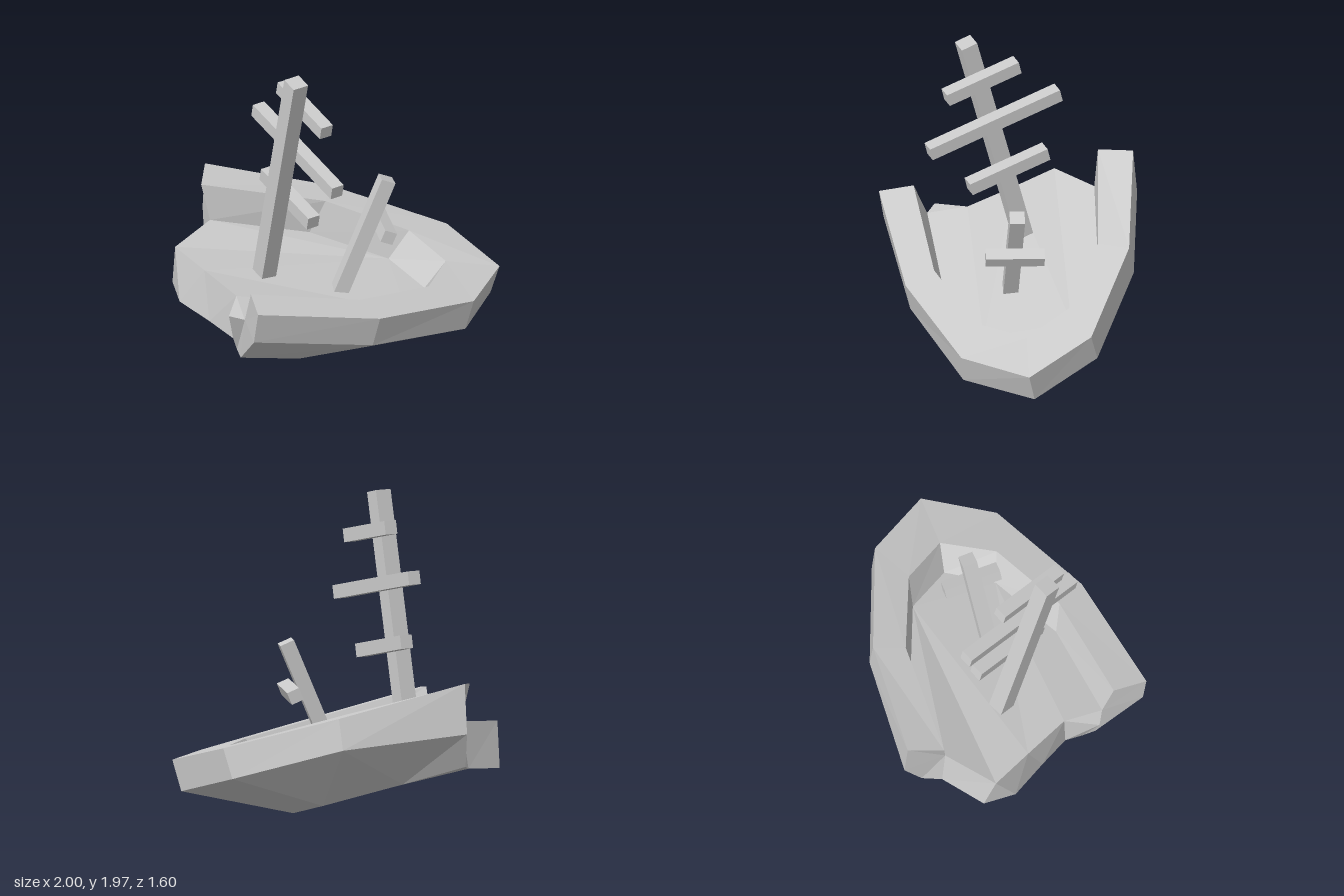
import * as THREE from 'three';

const mat = new THREE.MeshStandardMaterial({ color: 0xcccccc, flatShading: true });

// Height of the tilted deck plane, lowered by d
const plane = (x, z, d) => 0.596 - 0.24 * x - 0.162 * z - d;

// Flat-shaded mesh from a list of triangle corners
function facets(name, tris) {
  const g = new THREE.BufferGeometry();
  g.setAttribute('position', new THREE.Float32BufferAttribute(tris.flat(), 3));
  g.computeVertexNormals();
  const m = new THREE.Mesh(g, mat);
  m.name = name;
  return m;
}

// Band of quads between two rows of points
function strip(lo, hi) {
  const out = [];
  for (let i = 0; i < lo.length - 1; i++) {
    out.push(lo[i], lo[i + 1], hi[i + 1], lo[i], hi[i + 1], hi[i]);
  }
  return out;
}

const fan = (p) => p.slice(2).flatMap((q, i) => [p[0], p[i + 1], q]);

// Fill an outline, seen from above as counter-clockwise
function fill(p, up) {
  const flat = p.map((q) => new THREE.Vector2(q[0], -q[2]));
  return THREE.ShapeUtils.triangulateShape(flat, [])
    .flatMap(([a, b, c]) => (up ? [p[a], p[b], p[c]] : [p[a], p[c], p[b]]));
}

// Square beam along an axis, with its side turned towards a given direction
function beam(name, centre, axis, length, size, side) {
  const y = new THREE.Vector3(...axis).normalize();
  const z = new THREE.Vector3().crossVectors(new THREE.Vector3(...side), y).normalize();
  const x = new THREE.Vector3().crossVectors(y, z);
  const m = new THREE.Mesh(new THREE.BoxGeometry(size, length, size), mat);
  m.quaternion.setFromRotationMatrix(new THREE.Matrix4().makeBasis(x, y, z));
  m.position.set(...centre);
  m.name = name;
  return m;
}

export function createModel() {
  const ship = new THREE.Group();
  ship.name = 'wreckedShip';

  // Rows run from the left stern round the bow to the right stern
  const rim = [[-0.71, 0.64, 0.8], [0.09, 0.46, 0.67], [0.75, 0.35, 0.355], [1, 0.357, -0.055],
    [0.75, 0.48, -0.45], [0.07, 0.685, -0.715], [-0.71, 0.893, -0.775]];
  const inner = [[-0.71, 0.675, 0.585], [0, 0.51, 0.49], [0.485, 0.43, 0.255], [0.66, 0.43, -0.055],
    [0.485, 0.525, -0.325], [0, 0.68, -0.525], [-0.78, 0.862, -0.56]];
  const knuckle = [[-0.73, 0.435, 0.77], [0.05, 0.265, 0.64], [0.7, 0.155, 0.34], [0.95, 0.163, -0.09],
    [0.7, 0.292, -0.49], [0.05, 0.49, -0.745], [-0.72, 0.58, -0.8]];
  const bilge = [[-0.745, 0.167, 0.45], [-0.36, 0.08, 0.375], [0.11, 0, 0.16], [0.25, 0.01, -0.11],
    [0.11, 0.09, -0.37], [-0.36, 0.24, -0.555], [-0.73, 0.36, -0.69]];
  const floor = [[-0.73, 0.5], [-0.1, 0.43], [0.36, 0.2], [0.53, -0.075],
    [0.36, -0.345], [-0.1, -0.53], [-0.73, -0.535]].map(([x, z]) => [x, plane(x, z, 0.235), z]);

  // Jagged broken stern: deck edge and bottom edge, from right to left
  const deckEdge = [[-1, 0.585, -0.3], [-0.87, 0.54, -0.04], [-0.73, 0.495, 0.25], [-0.82, 0.465, 0.45]];
  const bottomEdge = [[-0.77, 0.33, -0.57], [-1, 0.3, -0.38], [-1, 0.27, -0.17],
    [-0.86, 0.235, 0.06], [-0.75, 0.2, 0.25], [-0.75, 0.18, 0.36]];

  const hull = new THREE.Group();
  hull.name = 'hull';
  hull.add(
    facets('lowerPlanking', strip(bilge, knuckle)),
    facets('upperPlanking', strip(knuckle, rim)),
    facets('rail', strip(rim, inner)),
    facets('innerWall', strip(inner, floor)),
    facets('deck', fill([...floor.slice(0, 5), ...deckEdge], true)),
    facets('deckEdge', fill([...floor.slice(4), deckEdge[0]], true)),
    facets('bottom', fill([...bilge, ...bottomEdge], false)),
    facets('brokenStern', strip([bottomEdge[0], ...bottomEdge.slice(1), bilge[0]],
      [floor[6], deckEdge[0], deckEdge[0], ...deckEdge.slice(1), floor[0]])),
    facets('leftBrokenEnd', fan([floor[0], bilge[0], knuckle[0], rim[0], inner[0]])),
    facets('rightBrokenEnd', fan([floor[6], inner[6], rim[6], knuckle[6], bilge[6], bottomEdge[0]])),
  );
  ship.add(hull);

  // Tall leaning mast with three yards
  const up = [0.085, 1, 0.235], along = [0.36, -0.22, 0.9], out = [0.92, 0, -0.37];
  const mast = new THREE.Group();
  mast.name = 'mainMast';
  mast.add(beam('mastPole', [-0.423, 1.18, 0.094], up, 1.6, 0.107, out));
  for (const [y, length] of [[1.717, 0.5], [1.393, 0.905], [1.022, 0.54]]) {
    const t = y - 1.18;
    mast.add(beam('yard', [-0.423 + 0.085 * t + 0.092, y, 0.094 + 0.235 * t - 0.037], along, length, 0.085, up));
  }
  ship.add(mast);

  // Short mast leaning towards the bow, with one crossbar
  const foreMast = new THREE.Group();
  foreMast.name = 'foreMast';
  foreMast.add(
    beam('foreMastPole', [0.113, 0.673, 0.003], [0.42, 1, -0.04], 0.86, 0.093, [0, 0, 1]),
    beam('crossbar', [0.249, 0.755, 0], [0, 0.02, 1], 0.365, 0.08, [0.42, 1, 0]),
  );
  ship.add(foreMast);
  return ship;
}
